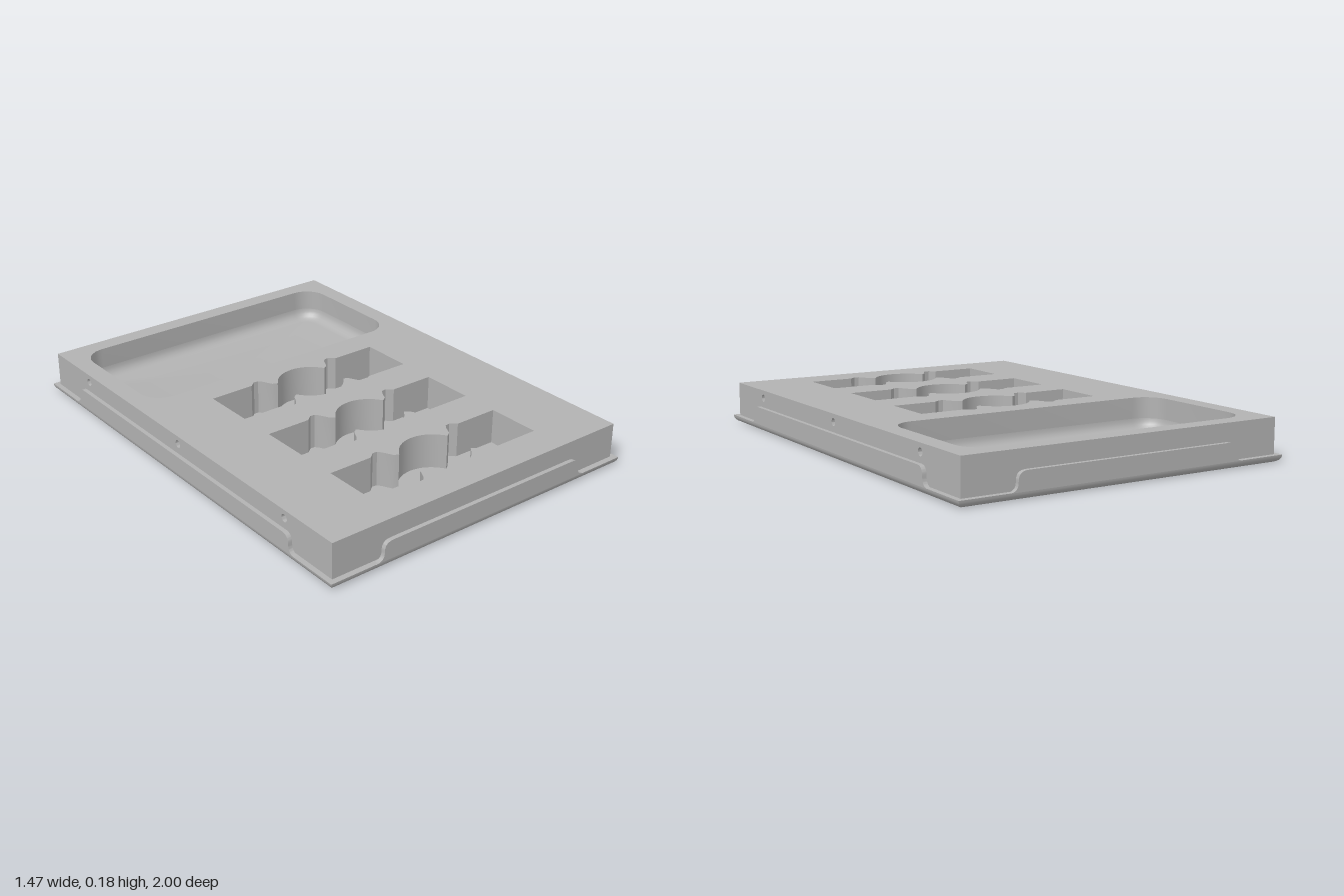
import * as THREE from 'three';
import { toCreasedNormals } from 'three/addons/utils/BufferGeometryUtils.js';

const PAN = { x: 0.735, z: 1.0, bend: 0.03 };    // outer half sizes of the pan and its bend radius
const BLOCK = { x: 0.713, z: 0.976, top: 0.178 };
const TRAY = { x: 0.633, z: 0.294, cz: -0.606, r: 0.1, fillet: 0.05, floor: 0.038 };
const SKIN = 0.02;                               // side panel thickness
const FLANGE = 0.018;                            // flange thickness

// Rounded rectangle, counterclockwise as [x, -z]
function roundedRect(hx, hz, r, steps) {
  const pts = [];
  [[1, 1], [-1, 1], [-1, -1], [1, -1]].forEach(([sx, sy], q) => {
    for (let i = 0; i <= steps; i++) {
      const a = (q + (steps ? i / steps : 0)) * Math.PI / 2;
      pts.push([sx * (hx - r) + r * Math.cos(a), sy * (hz - r) + r * Math.sin(a)]);
    }
  });
  return pts;
}

// Skin a list of rings; each ring is { y, pts }
function loft(rings) {
  const out = [];
  for (let k = 0; k + 1 < rings.length; k++) {
    const a = rings[k], b = rings[k + 1], n = a.pts.length;
    for (let i = 0; i < n; i++) {
      const j = (i + 1) % n;
      const v = (ring, m) => [ring.pts[m][0], ring.y, -ring.pts[m][1]];
      out.push(...v(a, i), ...v(a, j), ...v(b, j), ...v(a, i), ...v(b, j), ...v(b, i));
    }
  }
  const geo = new THREE.BufferGeometry();
  geo.setAttribute('position', new THREE.Float32BufferAttribute(out, 3));
  return toCreasedNormals(geo, 0.6);
}

// Pocket outline: a slot with a round centre and four small ears
function pocketPath(cz) {
  const quarter = [[0.42, 0.114], [0.225, 0.114], [0.198, 0.136], [0.178, 0.134],
    [0.165, 0.118], [0.145, 0.078], [0.125, 0.065]];
  for (let i = 1; i <= 8; i++) {
    const a = THREE.MathUtils.lerp(0.48, Math.PI / 2, i / 8);
    quarter.push([0.139 * Math.cos(a), 0.139 * Math.sin(a)]);
  }
  const half = [...quarter, ...quarter.slice(0, -1).reverse().map(([x, y]) => [-x, y])];
  const all = [...half, ...half.map(([x, y]) => [-x, -y])];
  return new THREE.Path(all.map(([x, y]) => new THREE.Vector2(x, y - cz)));
}

function extrude(shape, depth) {
  const geo = new THREE.ExtrudeGeometry(shape, { depth, bevelEnabled: false, curveSegments: 12 });
  return toCreasedNormals(geo, 0.6);
}

// Raised flange with S-curved ends
function flangeGeometry(top, side, foot) {
  const y0 = PAN.bend - 0.001, y1 = 0.105, ym = 0.068;
  const s = new THREE.Shape();
  s.moveTo(-foot, y0);
  s.bezierCurveTo(-side - 0.01, y0, -side, y0 + 0.012, -side, ym);
  s.bezierCurveTo(-side, y1 - 0.01, -side + 0.015, y1, -top, y1);
  s.lineTo(top, y1);
  s.bezierCurveTo(side - 0.015, y1, side, y1 - 0.01, side, ym);
  s.bezierCurveTo(side, y0 + 0.012, side + 0.01, y0, foot, y0);
  return extrude(s, FLANGE);
}

export function createModel() {
  const model = new THREE.Group();
  const grey = new THREE.MeshStandardMaterial({ color: 0xb2b2b2 });
  grey.name = 'grey';
  const add = (name, geo) => {
    const mesh = new THREE.Mesh(geo, grey);
    mesh.name = name;
    model.add(mesh);
    return mesh;
  };

  // Pan with a rounded lower edge
  const panRings = [{ y: 0, pts: roundedRect(0, 0, 0, 0) }];
  for (let i = 0; i <= 6; i++) {
    const a = i / 6 * Math.PI / 2, inset = PAN.bend * (1 - Math.sin(a));
    panRings.push({ y: PAN.bend * (1 - Math.cos(a)), pts: roundedRect(PAN.x - inset, PAN.z - inset, 0, 0) });
  }
  panRings.push({ y: PAN.bend, pts: roundedRect(0, 0, 0, 0) });
  add('pan', loft(panRings));

  // Flanges on all four sides
  const endFlange = flangeGeometry(0.452, 0.495, 0.54);
  const sideFlange = flangeGeometry(0.717, 0.752, 0.8);
  for (const s of [1, -1]) {
    const end = add(s > 0 ? 'frontFlange' : 'backFlange', endFlange);
    end.rotation.y = s > 0 ? 0 : Math.PI;
    end.position.z = s * (PAN.z - FLANGE);
    const side = add(s > 0 ? 'leftFlange' : 'rightFlange', sideFlange);
    side.rotation.y = s * Math.PI / 2;
    side.position.x = s * (PAN.x - FLANGE);
  }

  // Block with the tray opening and three pockets
  const bx = BLOCK.x - SKIN;
  const toVec = ([x, y]) => new THREE.Vector2(x, y);
  const block = new THREE.Shape(roundedRect(bx, BLOCK.z, 0, 0).map(toVec));
  block.holes.push(new THREE.Path(roundedRect(TRAY.x, TRAY.z, TRAY.r, 8).map(([x, y]) => toVec([x, y - TRAY.cz]))));
  for (const cz of [-0.074, 0.318, 0.709]) block.holes.push(pocketPath(cz));
  const blockMesh = add('block', extrude(block, BLOCK.top - PAN.bend));
  blockMesh.rotation.x = -Math.PI / 2;
  blockMesh.position.y = PAN.bend;

  // Side panels with three round recesses each
  const panel = new THREE.Shape([[-BLOCK.z, PAN.bend], [BLOCK.z, PAN.bend],
    [BLOCK.z, BLOCK.top], [-BLOCK.z, BLOCK.top]].map(toVec));
  for (const z of [-0.7, 0, 0.7]) {
    panel.holes.push(new THREE.Path().absarc(z, 0.144, 0.016, 0, Math.PI * 2, true));
  }
  const panelGeo = extrude(panel, SKIN);
  for (const s of [1, -1]) {
    const mesh = add(s > 0 ? 'leftPanel' : 'rightPanel', panelGeo);
    mesh.rotation.y = s * Math.PI / 2;
    mesh.position.x = s * bx;
  }

  // Tray floor with filleted edge
  const trayRings = [];
  for (let i = 0; i <= 6; i++) {
    const a = i / 6 * Math.PI / 2, inset = TRAY.fillet * (1 - Math.cos(a));
    trayRings.push({
      y: TRAY.floor + TRAY.fillet * (1 - Math.sin(a)),
      pts: roundedRect(TRAY.x - inset, TRAY.z - inset, TRAY.r - inset, 8),
    });
  }
  trayRings.push({ y: TRAY.floor, pts: trayRings[0].pts.map(() => [0, 0]) });
  add('trayFloor', loft(trayRings)).position.z = TRAY.cz;

  return model;
}
